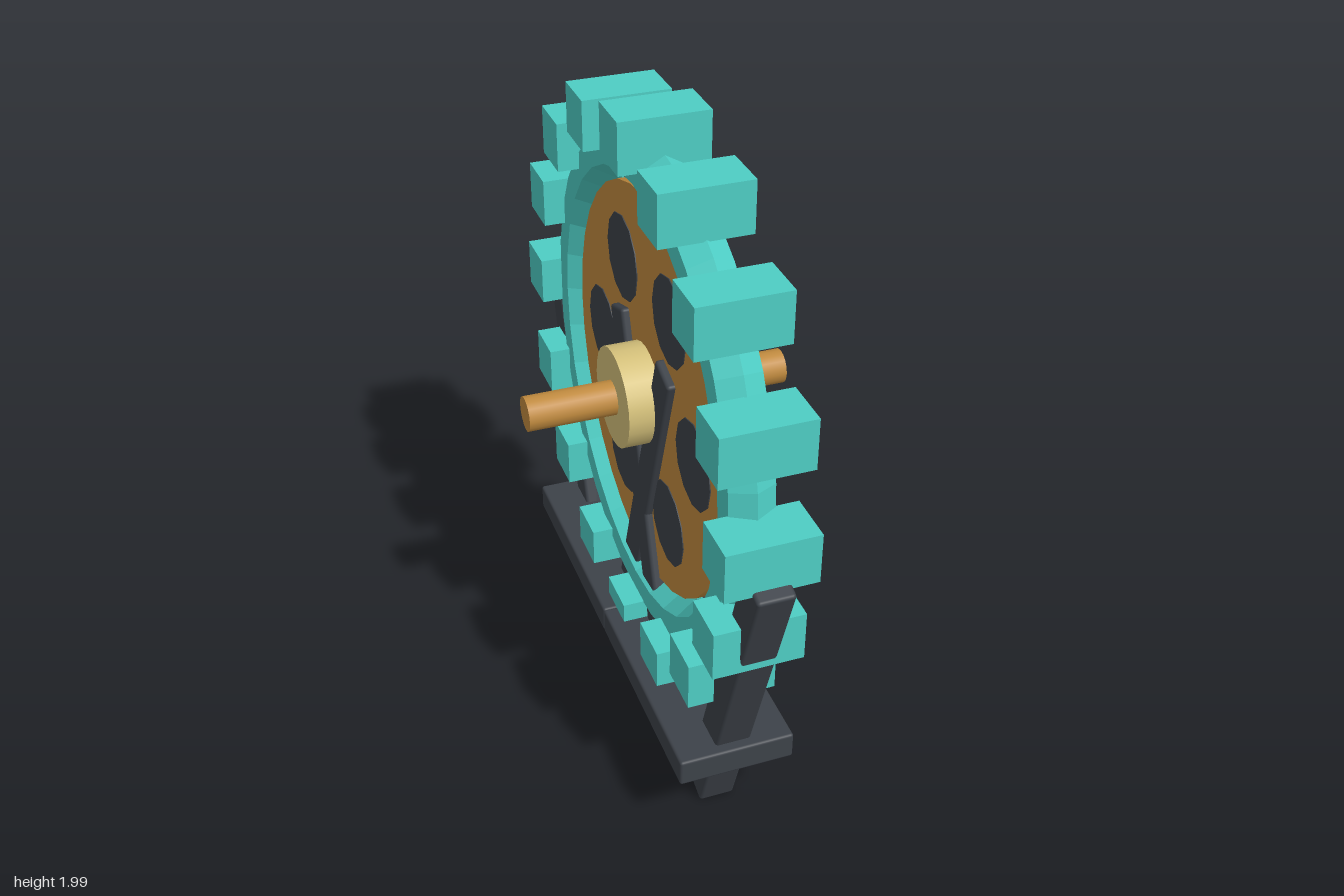
import * as THREE from 'three';
import { RoundedBoxGeometry } from 'three/addons/geometries/RoundedBoxGeometry.js';

const HUB_Y = 1.13;

function material(name, color, flatShading = false) {
  const m = new THREE.MeshStandardMaterial({ color, flatShading });
  m.name = name;
  return m;
}

export function createModel() {
  const teal = material('teal', 0x4ecdc4, true);
  const bronze = material('bronze', 0xc08a3e);
  const gold = material('pale gold', 0xd4c07a);
  const dark = material('charcoal', 0x3d4249);

  const model = new THREE.Group();
  model.name = 'wheelOnStand';

  function add(parent, name, geometry, mat, x = 0, y = 0, z = 0) {
    const mesh = new THREE.Mesh(geometry, mat);
    mesh.name = name;
    mesh.position.set(x, y, z);
    parent.add(mesh);
    return mesh;
  }

  // Cylinder lying along the x axis
  const disc = (radius, width, sides) =>
    new THREE.CylinderGeometry(radius, radius, width, sides).rotateZ(Math.PI / 2);

  // Wheel, turning about x
  const wheel = new THREE.Group();
  wheel.name = 'wheel';
  wheel.position.y = HUB_Y;
  model.add(wheel);

  add(wheel, 'rim', new THREE.TorusGeometry(0.695, 0.075, 6, 32).rotateY(Math.PI / 2), teal);
  add(wheel, 'wheelDisc', disc(0.612, 0.06, 32), bronze);
  add(wheel, 'hub', disc(0.15, 0.26, 24), gold);
  add(wheel, 'axle', disc(0.052, 0.78, 16), bronze);

  // Dark round panels, showing on both faces of the disc
  for (let i = 0; i < 6; i++) {
    const a = (i * Math.PI) / 3;
    add(wheel, 'roundPanel', disc(0.131, 0.066, 12), dark, 0, 0.39 * Math.sin(a), 0.39 * Math.cos(a));
  }

  // Upright tread blocks around the rim
  const block = new THREE.BoxGeometry(0.26, 0.149, 0.149);
  for (let i = 0; i < 16; i++) {
    const a = (i * Math.PI) / 8;
    add(wheel, 'treadBlock', block, teal, 0, 0.796 * Math.sin(a), 0.796 * Math.cos(a));
  }

  // Stand: two base planks, outer legs and crossed inner braces
  const stand = new THREE.Group();
  stand.name = 'stand';
  model.add(stand);

  const plank = new RoundedBoxGeometry(0.345, 0.085, 0.697, 2, 0.008);
  const bar = new RoundedBoxGeometry(0.108, 1.11, 0.108, 2, 0.01);
  const lean = 0.327;
  for (const s of [1, -1]) {
    add(stand, 'basePlank', plank, dark, 0, 0.302, s * 0.3485);
    add(stand, 'outerLeg', bar, dark, 0, 0.549, s * 0.677).rotation.x = s * lean;
    add(stand, 'innerBrace', bar, dark, 0, 0.783, s * 0.019).rotation.x = s * lean;
  }

  return model;
}
